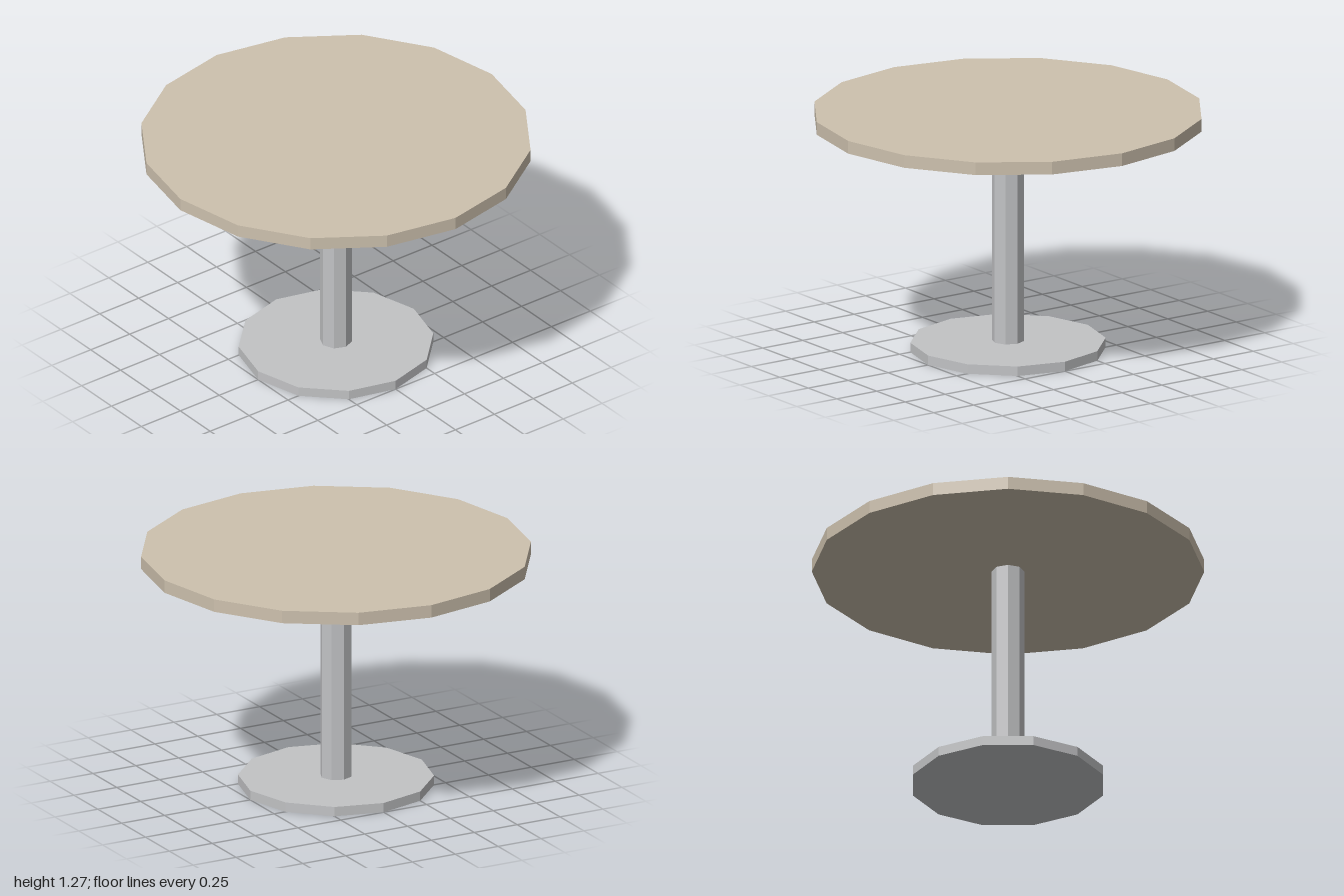
import * as THREE from 'three';

export function createModel() {
  const model = new THREE.Group();
  model.name = 'pedestalTable';

  const stone = new THREE.MeshStandardMaterial({ color: 0xcdc1ae });
  stone.name = 'warm beige';
  const metal = new THREE.MeshStandardMaterial({ color: 0xc2c3c5 });
  metal.name = 'light grey metal';
  stone.flatShading = metal.flatShading = true;

  // Upright faceted disc or post between two heights
  function addPrism(name, radius, bottom, top, sides, material) {
    const height = top - bottom;
    const mesh = new THREE.Mesh(new THREE.CylinderGeometry(radius, radius, height, sides), material);
    mesh.name = name;
    mesh.position.y = bottom + height / 2;
    model.add(mesh);
  }

  addPrism('base', 0.5, 0, 0.05, 12, metal);
  addPrism('column', 0.083, 0.05, 1.2, 8, metal);
  addPrism('tabletop', 1, 1.2, 1.267, 16, stone);

  return model;
}
